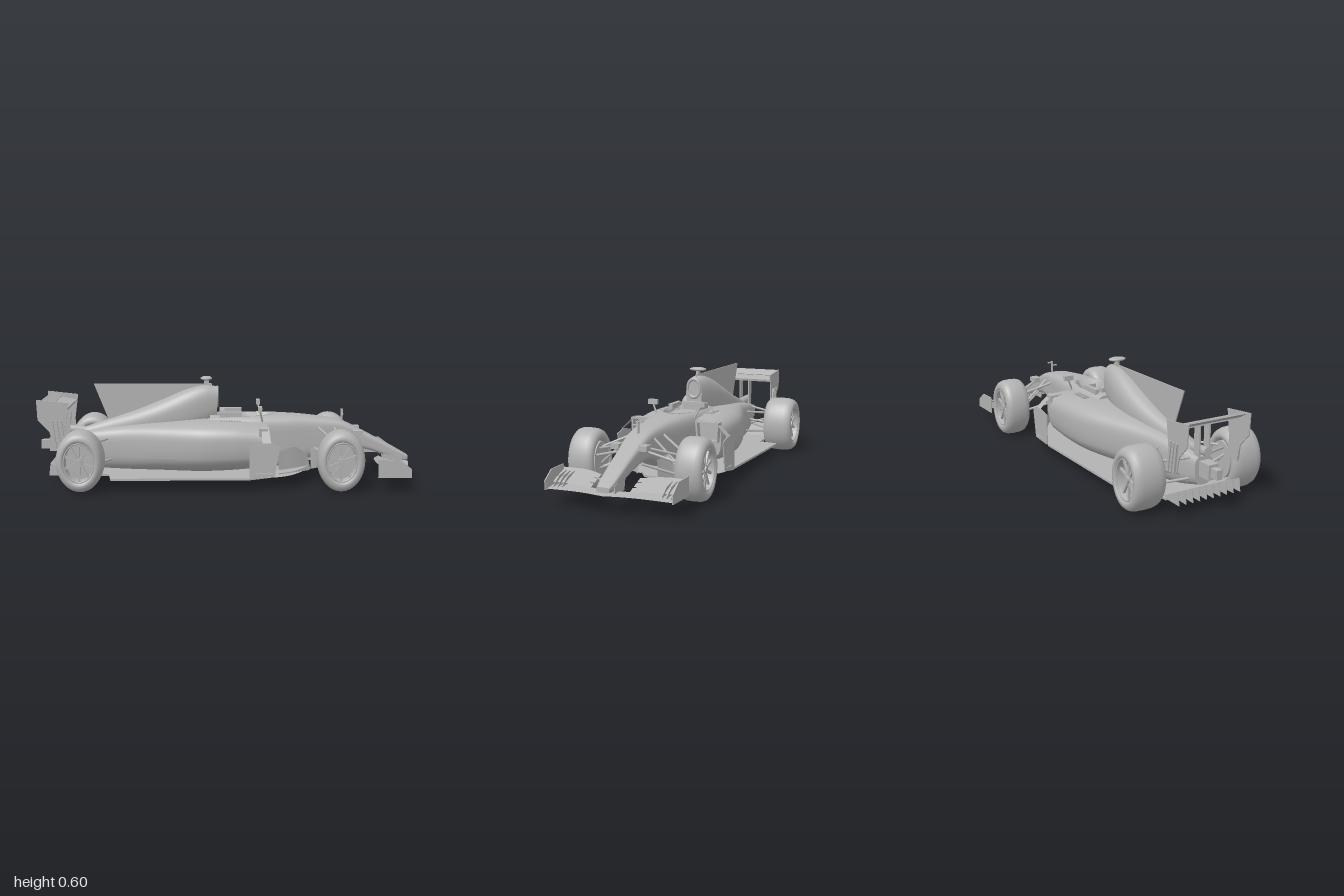
import * as THREE from 'three';

const V = (x, y, z) => new THREE.Vector3(x, y, z);

export function createModel() {
  const grey = new THREE.MeshStandardMaterial({ color: 0xb2b2b2, side: THREE.DoubleSide });
  grey.name = 'plain grey';
  const car = new THREE.Group();
  car.name = 'racingCar';

  const add = (name, geo, x = 0, y = 0, z = 0, parent = car) => {
    const m = new THREE.Mesh(geo, grey);
    m.name = name;
    m.position.set(x, y, z);
    parent.add(m);
    return m;
  };
  const box = (name, w, h, d, x, y, z, parent) => add(name, new THREE.BoxGeometry(w, h, d), x, y, z, parent);
  const both = (fn) => [1, -1].forEach(fn);

  // thin rod between two points
  const rod = (name, a, b, r = 0.007) => {
    const m = add(name, new THREE.CylinderGeometry(r, r, a.distanceTo(b), 8));
    m.position.copy(a).add(b).multiplyScalar(0.5);
    m.quaternion.setFromUnitVectors(V(0, 1, 0), b.clone().sub(a).normalize());
  };

  // thin sheet spanned between two smooth edges
  const sheet = (name, a, b, n = 16) => {
    const ca = new THREE.CatmullRomCurve3(a), cb = new THREE.CatmullRomCurve3(b);
    const pos = [], idx = [];
    for (let i = 0; i <= n; i++) {
      pos.push(...ca.getPoint(i / n).toArray(), ...cb.getPoint(i / n).toArray());
      if (i < n) { const k = 2 * i; idx.push(k, k + 1, k + 2, k + 1, k + 3, k + 2); }
    }
    const g = new THREE.BufferGeometry();
    g.setAttribute('position', new THREE.Float32BufferAttribute(pos, 3));
    g.setIndex(idx);
    g.computeVertexNormals();
    add(name, g);
  };

  // upright plate with a (z, y) outline
  const plate = (name, x, outline, t = 0.006) => {
    const s = new THREE.Shape(outline.map(([z, y]) => new THREE.Vector2(-z, y)));
    const g = new THREE.ExtrudeGeometry(s, { depth: t, bevelEnabled: false });
    add(name, g.translate(0, 0, -t / 2).rotateY(Math.PI / 2), x);
  };

  // smooth body from stations [z, half width, bottom, top]; e = squareness, warp edits points
  const loft = (name, st, e, warp = (p) => p) => {
    const curve = (k) => new THREE.CatmullRomCurve3(st.map((s) => V(s[0], s[k], 0)), false, 'centripetal');
    const cs = [1, 2, 3].map(curve), N = 70, K = 56, pos = [], idx = [];
    const pw = (v) => Math.sign(v) * Math.abs(v) ** e;
    for (let i = 0; i <= N; i++) {
      const [w, b, t] = cs.map((c) => c.getPoint(i / N).y), z = cs[0].getPoint(i / N).x;
      for (let j = 0; j < K; j++) {
        const a = (j / K) * Math.PI * 2;
        pos.push(...warp(V(w * pw(Math.cos(a)), (b + t) / 2 + ((t - b) / 2) * pw(Math.sin(a)), z), Math.sin(a)).toArray());
        if (i < N) {
          const p = i * K + j, q = i * K + ((j + 1) % K);
          idx.push(p, p + K, q, q, p + K, q + K);
        }
      }
    }
    // flat end caps with their own vertices
    [0, N].forEach((i) => {
      const ring = pos.slice(i * K * 3, (i + 1) * K * 3), o = pos.length / 3;
      const [, b, t] = cs.map((c) => c.getPoint(i / N).y);
      pos.push(...ring, 0, (b + t) / 2, ring[2]);
      for (let j = 0; j < K; j++) {
        const q = (j + 1) % K;
        idx.push(...(i ? [o + q, o + j, o + K] : [o + j, o + q, o + K]));
      }
    });
    const g = new THREE.BufferGeometry();
    g.setAttribute('position', new THREE.Float32BufferAttribute(pos, 3));
    g.setIndex(idx);
    g.computeVertexNormals();
    add(name, g);
  };

  // sidepods, narrower toward the floor
  loft('sidepods', [[0.17, 0.275, 0.09, 0.35], [0, 0.285, 0.075, 0.365], [-0.17, 0.272, 0.068, 0.365],
    [-0.4, 0.2, 0.068, 0.35], [-0.6, 0.13, 0.068, 0.33], [-0.8, 0.09, 0.08, 0.3], [-0.97, 0.055, 0.12, 0.27]], 0.5,
    (p, s) => { p.x *= s < 0 ? 1 + 0.22 * s : 1; return p; });

  // tub and nose, with a sunken cockpit
  loft('tubAndNose', [[-0.12, 0.13, 0.08, 0.385], [0.1, 0.135, 0.08, 0.39], [0.3, 0.115, 0.09, 0.385],
    [0.45, 0.092, 0.13, 0.375], [0.64, 0.07, 0.2, 0.345], [0.8, 0.056, 0.175, 0.268],
    [0.92, 0.05, 0.135, 0.205], [1.0, 0.044, 0.11, 0.16], [1.035, 0.036, 0.112, 0.14]], 0.45,
    (p, s) => {
      const r = ((p.z - 0.09) / 0.15) ** 2 + (p.x / 0.085) ** 2;
      if (s > 0.3) p.y -= 0.1 * (1 - THREE.MathUtils.smoothstep(r, 0.75, 1.05));
      return p;
    });
  box('seatBack', 0.11, 0.1, 0.03, 0, 0.36, -0.05);
  box('steeringWheel', 0.08, 0.045, 0.012, 0, 0.35, 0.17);
  both((s) => box('headrest', 0.025, 0.03, 0.13, s * 0.085, 0.392, 0));

  // engine cover, air intake and fin
  loft('engineCover', [[-0.08, 0.05, 0.36, 0.545], [-0.15, 0.068, 0.32, 0.553], [-0.25, 0.085, 0.28, 0.53],
    [-0.4, 0.09, 0.26, 0.468], [-0.55, 0.075, 0.24, 0.408], [-0.7, 0.052, 0.22, 0.358], [-0.88, 0.035, 0.2, 0.3]], 0.8);
  const intake = add('airIntakeRim', new THREE.TorusGeometry(0.04, 0.008, 8, 24), 0, 0.485, -0.077);
  intake.scale.y = 1.35;
  plate('sharkFin', 0, [[-0.1, 0.53], [-0.11, 0.562], [-0.79, 0.562], [-0.7, 0.33], [-0.4, 0.4]]);
  box('cameraStem', 0.016, 0.06, 0.03, 0, 0.57, -0.14);
  add('roofCamera', new THREE.SphereGeometry(1, 20, 12), 0, 0.592, -0.14).scale.set(0.052, 0.012, 0.034);

  // floor
  const half = [[0.2, -0.93], [0.2, -0.69], [0.32, -0.67], [0.32, 0.1], [0.27, 0.2], [0.13, 0.36], [0.06, 0.46]];
  const outline = [...half, ...half.slice().reverse().map(([x, z]) => [-x, z])].map((p) => new THREE.Vector2(...p));
  add('floor', new THREE.ExtrudeGeometry(new THREE.Shape(outline), { depth: 0.012, bevelEnabled: false }).rotateX(Math.PI / 2), 0, 0.072);
  box('plank', 0.1, 0.01, 1.25, 0, 0.057, -0.25);

  // diffuser
  sheet('diffuserRamp', [V(-0.19, 0.068, -0.88), V(0.19, 0.068, -0.88)], [V(-0.19, 0.135, -1.02), V(0.19, 0.135, -1.02)], 1);
  for (let i = 0; i < 10; i++) {
    plate('diffuserFin', -0.189 + i * 0.042, [[-0.88, 0.065], [-1.03, 0.062], [-1.02, 0.135]], 0.004);
  }

  // rear wing
  both((s) => {
    plate('rearWingEndplate', s * 0.187, [[-0.91, 0.475], [-1.09, 0.495], [-1.085, 0.38], [-1.02, 0.31], [-1.0, 0.22], [-0.92, 0.22], [-0.93, 0.33]]);
    box('wingPillar', 0.008, 0.2, 0.045, s * 0.03, 0.345, -0.95);
    [0, 1, 2].forEach((i) => plate('endplateSlat', s * 0.196, [[-0.93 - i * 0.025, 0.22], [-0.945 - i * 0.025, 0.22], [-0.965 - i * 0.025, 0.38], [-0.95 - i * 0.025, 0.38]], 0.012));
  });
  const main = box('rearWingMainPlane', 0.374, 0.014, 0.09, 0, 0.445, -0.965);
  main.rotation.x = 0.2;
  const flap = box('rearWingFlap', 0.374, 0.01, 0.06, 0, 0.475, -1.035);
  flap.rotation.x = 0.55;
  box('gearboxTail', 0.06, 0.08, 0.12, 0, 0.21, -0.99);
  box('rearLight', 0.035, 0.05, 0.06, 0, 0.21, -1.07);
  rod('exhaust', V(0, 0.29, -0.85), V(0, 0.3, -1.0), 0.025);

  both((s) => {
    // sidepod inlet with an open mouth
    const mouth = new THREE.Shape([[0.14, 0.23], [0.265, 0.23], [0.27, 0.34], [0.13, 0.345]].map(([x, y]) => new THREE.Vector2(s * x, y)));
    mouth.holes.push(new THREE.Path([[0.15, 0.24], [0.255, 0.24], [0.26, 0.33], [0.142, 0.335]].map(([x, y]) => new THREE.Vector2(s * x, y))));
    add('sidepodInlet', new THREE.ExtrudeGeometry(mouth, { depth: 0.05, bevelEnabled: false }), 0, 0, 0.155);
    for (let i = 0; i < 8; i++) box('louvre', 0.035, 0.008, 0.007, s * 0.15, 0.366, -0.055 + i * 0.015);

    // mirrors
    box('mirror', 0.055, 0.028, 0.022, s * 0.147, 0.432, 0.165);
    rod('mirrorStalk', V(s * 0.147, 0.42, 0.165), V(s * 0.115, 0.355, 0.18), 0.005);

    // bargeboards and turning vanes
    const path = (y, k = 1) => [[0.32, 0.09], [0.335, 0.2], [0.29, 0.32], [0.2, 0.4], [0.1, 0.45]].map(([x, z]) => V(s * x * k, y, z * k));
    sheet('bargeboardShelf', path(0.1), path(0.1, 0.82));
    sheet('lowerShelf', path(0.075, 0.97), path(0.075, 0.75));
    plate('deflector', s * 0.325, [[0.1, 0.07], [0.1, 0.25], [0.2, 0.27], [0.27, 0.25], [0.24, 0.08]]);
    sheet('deflectorArm', [V(s * 0.33, 0.27, 0.22), V(s * 0.25, 0.345, 0.21)], [V(s * 0.33, 0.27, 0.17), V(s * 0.25, 0.345, 0.17)], 1);
    sheet('bargeboard', [V(s * 0.1, 0.075, 0.46), V(s * 0.17, 0.075, 0.38), V(s * 0.24, 0.075, 0.27)],
      [V(s * 0.1, 0.16, 0.44), V(s * 0.17, 0.22, 0.36), V(s * 0.24, 0.2, 0.26)]);
    sheet('turningVane', [V(s * 0.07, 0.09, 0.56), V(s * 0.12, 0.08, 0.46)], [V(s * 0.065, 0.22, 0.56), V(s * 0.1, 0.2, 0.46)], 2);

    // front wing: swept planes with stacked flaps
    sheet('frontWingPlane', [V(0, 0.098, 1.045), V(s * 0.1, 0.098, 1.025), V(s * 0.2, 0.092, 0.998), V(s * 0.35, 0.088, 0.99)],
      [V(0, 0.108, 0.97), V(s * 0.1, 0.108, 0.95), V(s * 0.2, 0.105, 0.91), V(s * 0.35, 0.1, 0.89)]);
    for (let i = 0; i < 3; i++) {
      const z = 0.94 - i * 0.04, y = 0.11 + i * 0.016;
      sheet('frontWingFlap', [V(s * 0.11, y, z + 0.02), V(s * 0.22, y, z - 0.01), V(s * 0.36, y, z - 0.02)],
        [V(s * 0.11, y + 0.014, z - 0.012), V(s * 0.22, y + 0.02, z - 0.055), V(s * 0.36, y + 0.02, z - 0.06)]);
      plate('wingStrake', s * (0.28 + i * 0.025), [[0.97, 0.09], [0.84, 0.1], [0.83, 0.155], [0.9, 0.14]], 0.004);
    }
    plate('frontWingEndplate', s * 0.357, [[0.995, 0.08], [0.995, 0.13], [0.93, 0.178], [0.81, 0.182], [0.81, 0.08]]);
    plate('wingPylon', s * 0.045, [[1.0, 0.1], [1.0, 0.14], [0.88, 0.19], [0.9, 0.1]]);
    box('noseCamera', 0.045, 0.028, 0.06, s * 0.08, 0.285, 0.73);

    // wishbones and links: [hub x, y, z, body x, y, z]
    [[0.27, 0.23, 0.61, 0.07, 0.32, 0.5], [0.27, 0.23, 0.61, 0.06, 0.29, 0.73], [0.27, 0.12, 0.61, 0.08, 0.2, 0.48],
      [0.27, 0.12, 0.61, 0.06, 0.2, 0.73], [0.27, 0.13, 0.61, 0.06, 0.32, 0.6], [0.27, 0.2, 0.66, 0.06, 0.25, 0.66],
      [0.25, 0.24, -0.834, 0.07, 0.26, -0.68], [0.25, 0.24, -0.834, 0.04, 0.26, -0.93], [0.25, 0.12, -0.834, 0.07, 0.14, -0.66],
      [0.25, 0.12, -0.834, 0.04, 0.15, -0.93], [0.25, 0.22, -0.86, 0.05, 0.15, -0.86], [0.25, 0.17, -0.834, 0.04, 0.19, -0.834],
    ].forEach(([a, b, c, d, e, f]) => rod('suspensionArm', V(s * a, b, c), V(s * d, e, f)));

    // wheels: [name, x, z, half width]
    [['frontWheel', 0.3125, 0.607, 0.075], ['rearWheel', 0.2985, -0.834, 0.092]].forEach(([name, x, z, h]) => {
      const w = new THREE.Group();
      w.name = name;
      w.position.set(s * x, 0.172, z);
      w.scale.set(s, 1.3, 1);
      car.add(w);
      const prof = [[0.084, -0.86], [0.09, -0.98], [0.1, -1], [0.113, -0.95], [0.124, -0.78], [0.13, -0.5], [0.1315, 0],
        [0.13, 0.5], [0.124, 0.78], [0.113, 0.95], [0.1, 1], [0.09, 0.98], [0.084, 0.86], [0.08, 0.5], [0.08, -0.5], [0.084, -0.86]];
      add('tyre', new THREE.LatheGeometry(prof.map(([r, k]) => new THREE.Vector2(r, k * h)), 48).rotateZ(-Math.PI / 2), 0, 0, 0, w);
      add('rimLip', new THREE.TorusGeometry(0.083, 0.004, 8, 40).rotateY(Math.PI / 2), h * 0.88, 0, 0, w);
      add('brakeDrum', new THREE.CylinderGeometry(0.078, 0.078, h * 1.2, 32).rotateZ(Math.PI / 2), -h * 0.35, 0, 0, w);
      add('hub', new THREE.CylinderGeometry(0.014, 0.022, h * 0.6, 20).rotateZ(-Math.PI / 2), h * 0.5, 0, 0, w);
      for (let i = 0; i < 10; i++) {
        const spoke = new THREE.BoxGeometry(0.012, 0.068, 0.01).translate(0, 0.049, 0).rotateX((i * Math.PI) / 5);
        add('spoke', spoke, h * 0.62, 0, 0, w);
      }
    });
  });

  // probe on the nose
  box('noseProbe', 0.008, 0.075, 0.012, 0, 0.375, 0.648);
  both((s) => box('probeArm', 0.03, 0.006, 0.012, s * 0.015, s > 0 ? 0.405 : 0.385, 0.648));

  // the car stands diagonally in its frame
  car.rotation.y = 2.241;
  car.position.set(-0.005, 0, -0.006);
  const model = new THREE.Group();
  model.name = 'model';
  model.add(car);
  return model;
}
